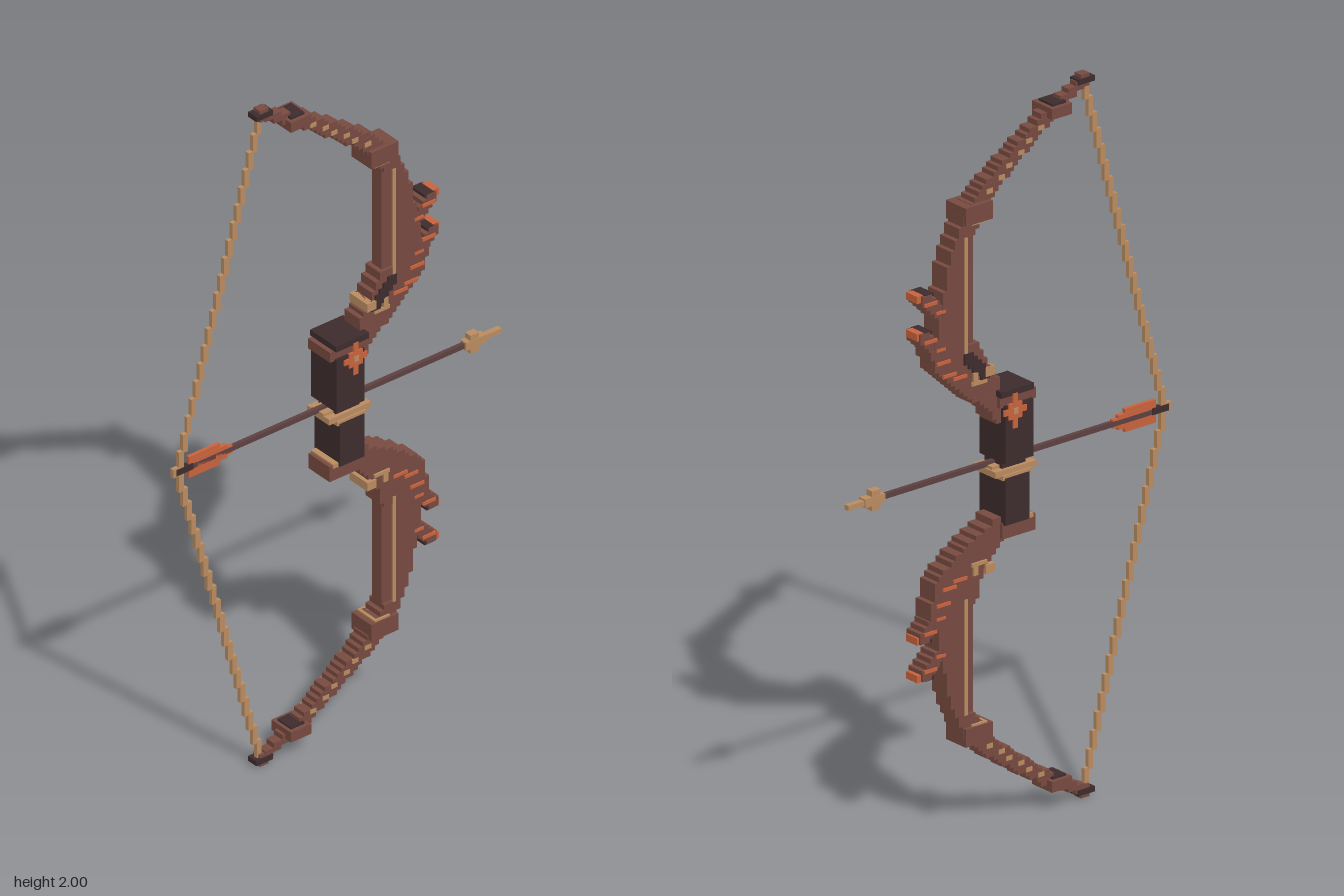
import * as THREE from 'three';

const mat = (name, color) => {
  const m = new THREE.MeshStandardMaterial({ color });
  m.name = name;
  return m;
};

export function createModel() {
  const wood = mat('brown wood', 0x764a40);
  const dark = mat('dark leather', 0x3d2b2d);
  const tan = mat('tan cord', 0xb98c60);
  const orange = mat('orange trim', 0xc9623c);
  const shaftMat = mat('shaft wood', 0x5e4040);
  const V = 0.0135; // block step
  const model = new THREE.Group();
  model.name = 'bowAndArrow';

  const group = (name) => {
    const g = new THREE.Group();
    g.name = name;
    model.add(g);
    return g;
  };
  // box from its edges, centred on z = zc
  const box = (g, name, m, x0, x1, y0, y1, zh, zc = 0) => {
    const mesh = new THREE.Mesh(new THREE.BoxGeometry(x1 - x0, Math.abs(y1 - y0), zh * 2), m);
    mesh.position.set((x0 + x1) / 2, (y0 + y1) / 2, zc);
    mesh.name = name;
    g.add(mesh);
  };
  const snap = (v) => Math.round(v / V) * V;

  // limb outline above the grip: height, inner x, outer x, half depth
  const outer = [
    [1.985, -0.26, -0.23, 0.012], [1.96, -0.235, -0.18, 0.014], [1.93, -0.18, -0.11, 0.018],
    [1.9, -0.125, -0.07, 0.02], [1.85, -0.06, 0.01, 0.022], [1.8, 0.01, 0.08, 0.024],
    [1.76, 0.06, 0.13, 0.027], [1.72, 0.1, 0.17, 0.03], [1.66, 0.135, 0.195, 0.03],
    [1.58, 0.135, 0.23, 0.03], [1.5, 0.135, 0.24, 0.03], [1.4, 0.135, 0.265, 0.03],
    [1.36, 0.13, 0.28, 0.03],
  ];
  const roots = {
    upper: [[1.31, 0.105, 0.27, 0.03], [1.26, 0.07, 0.21, 0.03], [1.21, 0.045, 0.15, 0.032],
      [1.16, 0.03, 0.09, 0.034], [1.12, 0.03, 0.06, 0.034]],
    lower: [[1.31, 0.125, 0.275, 0.03], [1.27, 0.1, 0.27, 0.03], [1.21, 0.05, 0.19, 0.032],
      [1.16, 0.0, 0.1, 0.034], [1.14, 0.0, 0.06, 0.034]],
  };

  for (const side of ['upper', 'lower']) {
    const fy = side === 'upper' ? (y) => y : (y) => 2 - y;
    const g = group(side + 'Limb');
    const b = (name, m, x0, x1, y0, y1, zh, zc) => box(g, name, m, x0, x1, fy(y0), fy(y1), zh, zc);
    const rows = [...outer, ...roots[side]];

    // stepped wooden rows following the outline
    for (let i = 0; i < rows.length - 1; i++) {
      const p = rows[i], q = rows[i + 1];
      const n = Math.max(1, Math.round((p[0] - q[0]) / V));
      for (let k = 0; k < n; k++) {
        const t = (k + 0.5) / n;
        const at = (j) => p[j] + (q[j] - p[j]) * t;
        const y = at(0), h = (p[0] - q[0]) / n / 2;
        const x0 = snap(at(1)), x1 = snap(at(2));
        const straight = y < 1.66 && y > 1.36;
        // the belly of the limb is narrower than its back
        if (straight) {
          b('limbBelly', wood, x0, x0 + 0.03, y - h, y + h, 0.02);
          b('limbRow', wood, x0 + 0.03, x1, y - h, y + h, 0.03);
        } else b('limbRow', wood, x0, x1, y - h, y + h, at(3));
        // scattered tan grain on the thin outer limb
        if (y > 1.76 && y < 1.91 && k % 2 === 0) {
          for (const s of [-1, 1]) {
            b('grain', tan, x0 + 0.02, x0 + 0.04, y - h, y + h, 0.002, s * at(3));
          }
        }
      }
    }

    // string tip and the two binding blocks
    b('tip', dark, -0.275, -0.22, 1.975, 1.99, 0.017);
    b('tipKnob', wood, -0.26, -0.232, 1.965, 2.0, 0.013);
    b('outerBinding', wood, -0.18, -0.113, 1.915, 1.945, 0.04);
    b('outerBindingCap', dark, -0.17, -0.125, 1.91, 1.951, 0.028);
    b('middleBinding', wood, 0.085, 0.175, 1.695, 1.745, 0.04);
    b('middleBindingTrim', tan, 0.1, 0.15, 1.69, 1.7, 0.036);

    // long inlay on both faces, with tan bands near the root
    for (const s of [-1, 1]) {
      b('inlay', tan, 0.162, 0.172, 1.34, 1.66, 0.003, s * 0.03);
      if (side === 'upper') {
        for (let k = 0; k < 5; k++) {
          const x = 0.09 + k * V, y = 1.255 + k * V;
          b('darkWrap', dark, x, x + 0.03, y, y + 0.03, 0.003, s * 0.032);
        }
      }
      b('rootTrim', tan, 0.1, 0.15, 1.245, 1.255, 0.003, s * 0.033);
      b('rootTrim', tan, 0.13, 0.145, 1.255, 1.28, 0.003, s * 0.033);
    }
    b('rootBand', tan, 0.075, 0.105, 1.26, 1.285, 0.036);

    // feather spurs, climbing outward in steps
    for (const [fx, y0, n] of [[0.21, 1.435, 6], [0.23, 1.345, 5]]) {
      for (let k = 0; k < n; k++) {
        const x = fx + k * V, y = y0 + k * V;
        b('spur', wood, x, x + 0.032, y, y + 0.03, 0.028);
      }
      const ty = y0 + n * V;
      b('spurTop', dark, fx + n * V - 0.02, 0.302, ty + 0.01, ty + 0.018, 0.027);
      b('spurEnd', wood, fx + n * V - 0.01, 0.31, ty - 0.012, ty + 0.012, 0.026);
      b('spurTip', orange, 0.302, 0.322, ty - 0.002, ty + 0.018, 0.022);
      for (const s of [-1, 1]) {
        b('spurStreak', orange, 0.262, 0.305, ty - 0.014, ty - 0.005, 0.003, s * 0.029);
        b('spurStreak', orange, 0.235, 0.265, ty - 0.045, ty - 0.037, 0.003, s * 0.029);
      }
    }
    // orange streaks rising across the root
    for (const s of [-1, 1]) {
      for (const [x, y] of [[0.165, 1.275], [0.2, 1.29], [0.22, 1.33]]) {
        b('rootStreak', orange, x, x + 0.045, y, y + 0.009, 0.003, s * 0.031);
      }
    }

    // stepped string from tip to nock
    const str = group(side + 'String');
    const N = 20;
    for (let k = 0; k < N; k++) {
      const x = -0.25 - (k + 0.5) / N * 0.27;
      const y0 = 1.975 - k / N * 0.965, y1 = 1.975 - (k + 1) / N * 0.965;
      box(str, 'stringStep', tan, x - 0.008, x + 0.008, fy(y0 + 0.003), fy(y1 - 0.003), 0.006);
    }
  }

  // grip
  const grip = group('grip');
  box(grip, 'gripUpper', dark, -0.04, 0.053, 1.01, 1.17, 0.052);
  box(grip, 'gripLower', dark, -0.028, 0.053, 0.84, 0.97, 0.052);
  box(grip, 'gripCore', dark, -0.028, 0.05, 0.96, 1.02, 0.035);
  box(grip, 'upperCollar', wood, -0.055, 0.065, 1.165, 1.195, 0.045);
  box(grip, 'upperCap', dark, -0.042, 0.067, 1.195, 1.212, 0.053);
  box(grip, 'lowerCollar', wood, -0.055, 0.055, 0.8, 0.845, 0.043);
  box(grip, 'lowerTrim', tan, -0.045, 0.04, 0.838, 0.85, 0.046);
  box(grip, 'gripBand', tan, -0.058, 0.08, 0.975, 0.992, 0.045);
  box(grip, 'gripBandLower', tan, -0.035, 0.06, 0.965, 0.978, 0.05);
  box(grip, 'arrowRest', tan, -0.06, 0.075, 0.99, 1.0, 0.025);

  // stepped diamond ornament on both faces
  for (const s of [-1, 1]) {
    for (const [w, h] of [[0.038, 0.008], [0.022, 0.022], [0.008, 0.048]]) {
      box(grip, 'ornament', orange, 0.022 - w, 0.022 + w, 1.152 - h, 1.152 + h, 0.003, s * 0.053);
    }
    box(grip, 'ornamentCentre', tan, 0.014, 0.03, 1.144, 1.16, 0.003, s * 0.055);
  }

  // arrow
  const arrow = group('arrow');
  box(arrow, 'shaft', shaftMat, -0.5, 0.43, 0.995, 1.009, 0.006);
  box(arrow, 'nock', dark, -0.53, -0.475, 0.994, 1.012, 0.008);
  box(arrow, 'nockCord', tan, -0.54, -0.515, 0.99, 1.016, 0.006);
  box(arrow, 'fletching', orange, -0.488, -0.385, 0.97, 1.034, 0.005);
  box(arrow, 'fletchingStep', orange, -0.46, -0.362, 0.982, 1.022, 0.006);
  box(arrow, 'fletchingFront', orange, -0.4, -0.345, 0.99, 1.014, 0.006);
  box(arrow, 'headBase', tan, 0.42, 0.487, 0.99, 1.014, 0.012);
  box(arrow, 'headBarb', tan, 0.435, 0.463, 0.975, 1.03, 0.011);
  box(arrow, 'headPoint', tan, 0.487, 0.54, 0.995, 1.009, 0.008);

  return model;
}
